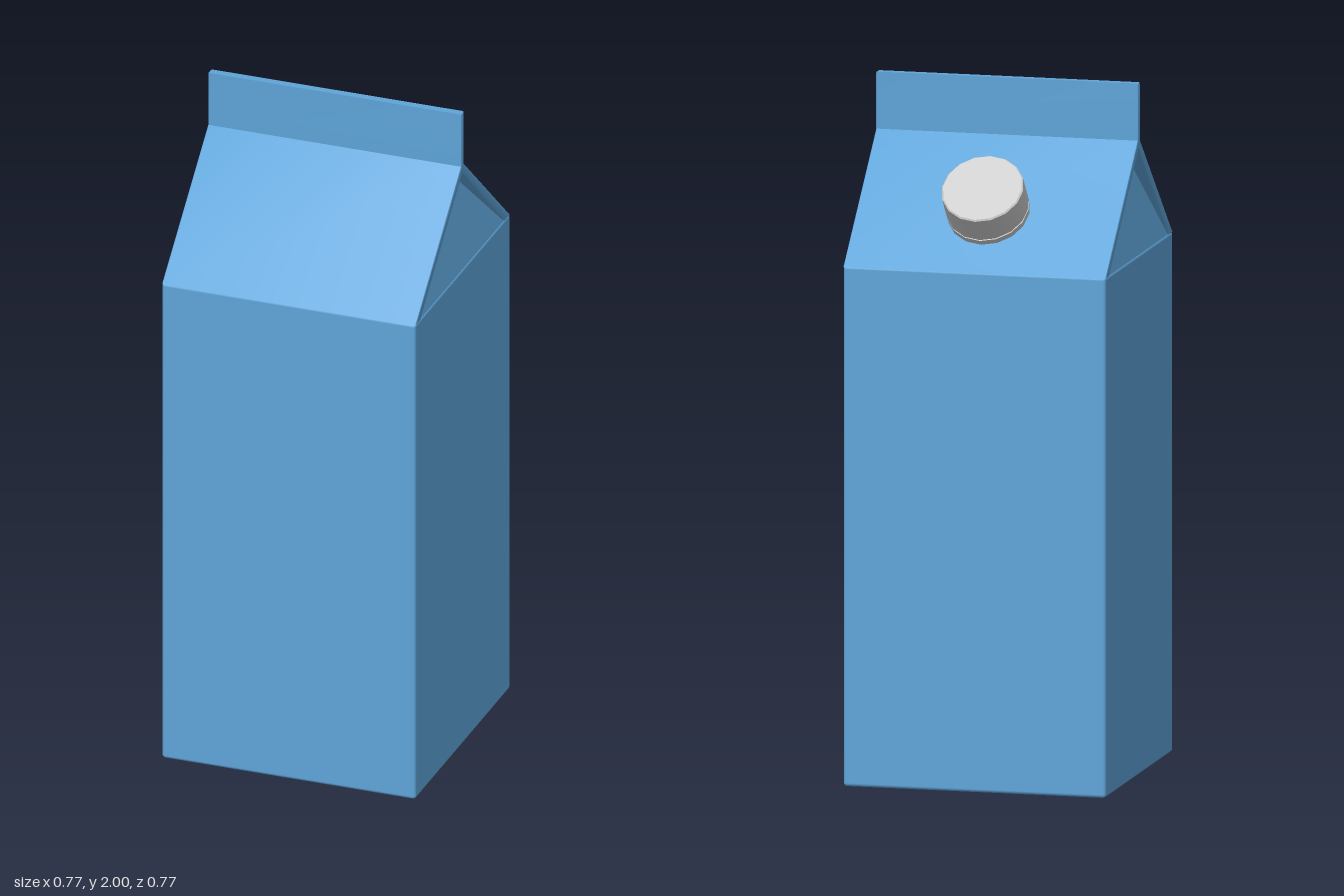
import * as THREE from 'three';
import { RoundedBoxGeometry } from 'three/addons/geometries/RoundedBoxGeometry.js';
import { toCreasedNormals } from 'three/addons/utils/BufferGeometryUtils.js';

const HALF = 0.385, EAVE = 1.5, RIDGE = 1.835;

export function createModel() {
  const model = new THREE.Group();
  model.name = 'carton';
  const blue = new THREE.MeshStandardMaterial({ color: 0x5fa5da, side: THREE.DoubleSide });
  const grey = new THREE.MeshStandardMaterial({ color: 0xcccccc });

  const add = (parent, name, geometry, material) => {
    const mesh = new THREE.Mesh(geometry, material);
    mesh.name = name;
    parent.add(mesh);
    return mesh;
  };

  // Tall square body, its rounded top edge tucked under the eaves
  const height = EAVE + 0.005;
  add(model, 'body', new RoundedBoxGeometry(HALF * 2, height, HALF * 2, 2, 0.01), blue)
    .position.y = height / 2;

  // Two sloping panels and the upright sealed fin, one folded profile run along x
  const side = [[HALF - 0.045, EAVE], [HALF, EAVE], [0.012, RIDGE], [0.012, 2]];
  const profile = [
    [0, RIDGE - 0.025],
    ...side,
    ...side.map(([z, y]) => [-z, y]).reverse(),
  ].map(([z, y]) => new THREE.Vector2(z, y));
  const bevel = 0.005;
  const roof = new THREE.ExtrudeGeometry(new THREE.Shape(profile), {
    depth: HALF * 2 - bevel * 2,
    bevelSize: bevel, bevelThickness: bevel, bevelOffset: -bevel, bevelSegments: 2,
  });
  roof.translate(0, 0, bevel - HALF).rotateY(Math.PI / 2);
  add(model, 'roofAndFin', toCreasedNormals(roof, 0.6), blue);

  // Folded triangles at both ends, leaning inward beneath the panels
  for (const s of [1, -1]) {
    const gusset = new THREE.BufferGeometry().setFromPoints([
      new THREE.Vector3(s * (HALF - 0.002), EAVE - 0.004, s * HALF * 0.98),
      new THREE.Vector3(s * (HALF - 0.002), EAVE - 0.004, -s * HALF * 0.98),
      new THREE.Vector3(s * (HALF - 0.05), RIDGE - 0.015, 0),
    ]);
    gusset.computeVertexNormals();
    add(model, s > 0 ? 'leftGusset' : 'rightGusset', gusset, blue);
  }

  // Screw cap standing square on the rear panel
  const spout = new THREE.Group();
  spout.name = 'spout';
  spout.position.set(0, 1.65, -0.22);
  spout.rotation.x = -Math.atan2(RIDGE - EAVE, HALF - 0.012);
  model.add(spout);
  const lathe = (points) => toCreasedNormals(
    new THREE.LatheGeometry(points.map(([r, y]) => new THREE.Vector2(r, y)), 16), 0.6);
  add(spout, 'spoutCollar', lathe([[0, -0.01], [0.119, -0.01], [0.119, 0.016], [0, 0.016]]), grey);
  add(spout, 'spoutNeck', new THREE.CylinderGeometry(0.112, 0.112, 0.03, 16), grey).position.y = 0.015;
  add(spout, 'cap', lathe([[0, 0.02], [0.119, 0.02], [0.119, 0.104], [0.115, 0.108], [0, 0.108]]), grey);

  return model;
}
